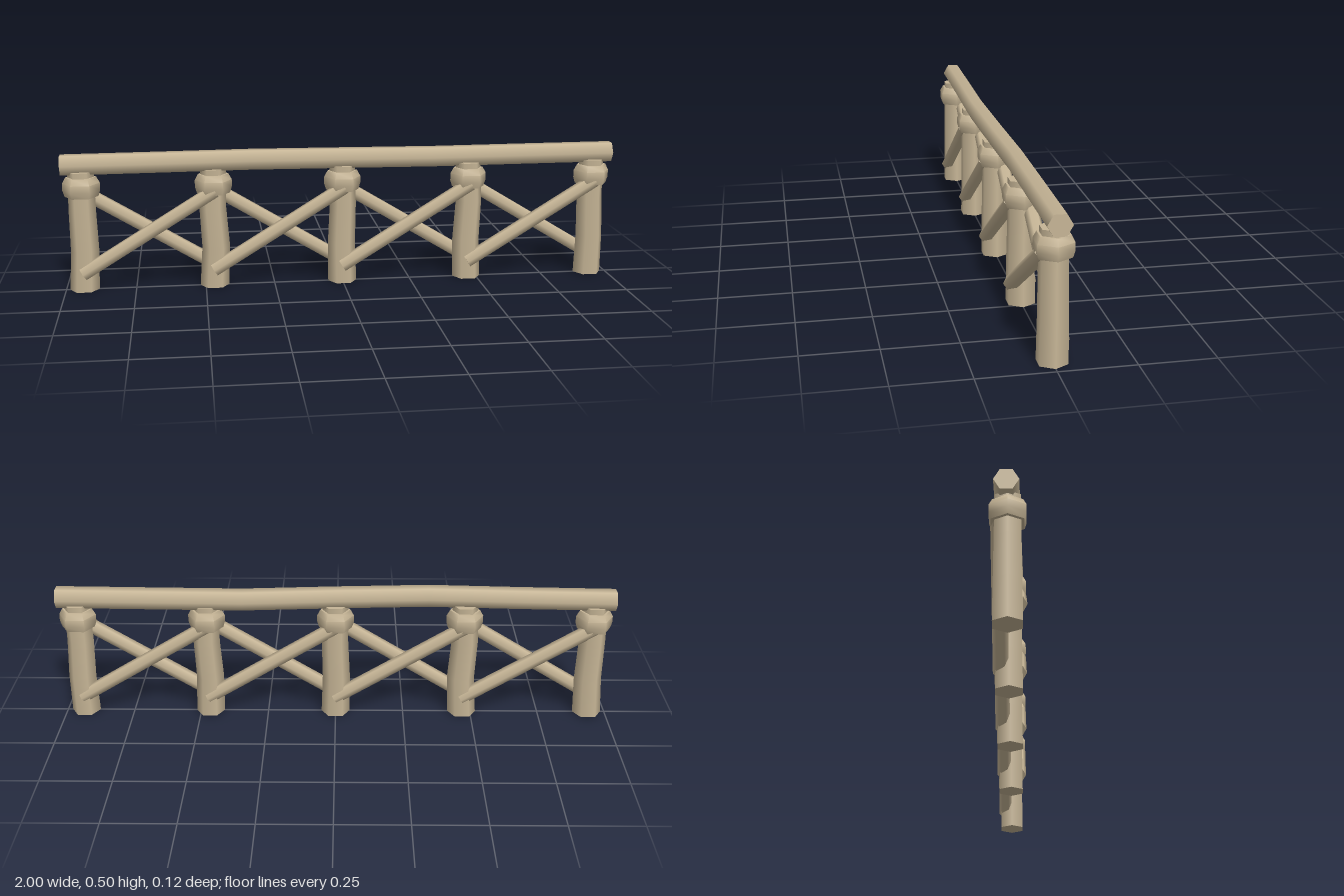
import * as THREE from 'three';
import { toCreasedNormals } from 'three/addons/utils/BufferGeometryUtils.js';

const wood = new THREE.MeshStandardMaterial({ color: 0xc6b596 });
wood.name = 'paleWood';

// Hexagonal log along y, its rings shifted by [x, z] offsets listed from bottom to top
function logGeometry(rTop, rBottom, length, offsets, thetaStart = 0) {
  const segments = offsets.length - 1;
  const geo = new THREE.CylinderGeometry(rTop, rBottom, length, 6, segments, false, thetaStart);
  const pos = geo.attributes.position;
  for (let i = 0; i < pos.count; i++) {
    const [dx, dz] = offsets[Math.round((pos.getY(i) / length + 0.5) * segments)];
    pos.setX(i, pos.getX(i) + dx);
    pos.setZ(i, pos.getZ(i) + dz);
  }
  return geo;
}

function addMesh(parent, name, geometry) {
  const mesh = new THREE.Mesh(geometry, wood);
  mesh.name = name;
  parent.add(mesh);
  return mesh;
}

// Straight brace between two points at depth z
function addBrace(parent, name, x0, y0, x1, y1, z) {
  const length = Math.hypot(x1 - x0, y1 - y0);
  const brace = addMesh(parent, name, logGeometry(0.026, 0.026, length, [[0, 0], [0, 0]]));
  brace.position.set((x0 + x1) / 2, (y0 + y1) / 2, z);
  brace.rotation.z = Math.atan2(y1 - y0, x1 - x0) - Math.PI / 2;
}

export function createModel() {
  const model = new THREE.Group();
  model.name = 'logFence';

  const postX = [-0.93, -0.465, 0, 0.465, 0.93];
  // Sideways bend of each post at bottom, lower, upper and top rings
  const bends = [
    [-0.004, 0.003, 0, 0],
    [-0.003, 0.005, -0.004, 0],
    [0, -0.003, 0.002, 0],
    [0, -0.004, 0.004, 0],
    [0, 0.003, -0.002, 0],
  ];

  // Faceted knob around the top of each post
  const knobProfile = [
    [0.035, 0.343], [0.059, 0.343], [0.066, 0.365],
    [0.066, 0.391], [0.054, 0.413], [0.035, 0.413],
  ].map(([r, y]) => new THREE.Vector2(r, y));
  const knobGeo = toCreasedNormals(new THREE.LatheGeometry(knobProfile, 6, Math.PI / 6), 1.07);

  postX.forEach((x, i) => {
    const post = addMesh(model, 'post',
      logGeometry(0.046, 0.052, 0.433, bends[i].map((dx) => [dx, 0]), Math.PI / 6));
    post.position.set(x, 0.2165, 0);
    addMesh(model, 'postKnob', knobGeo).position.x = x;
  });

  // One rising brace in front and one falling brace behind in every bay
  for (let i = 0; i < 4; i++) {
    const a = postX[i], b = postX[i + 1];
    addBrace(model, 'frontBrace', a - 0.005, 0.066, b + 0.005, 0.358, 0.032);
    addBrace(model, 'backBrace', a - 0.005, 0.358, b + 0.005, 0.07, -0.027);
  }

  // Gently wavy top rail; before turning, -x of the log is up
  const rail = addMesh(model, 'topRail', logGeometry(0.0395, 0.0395, 2, [
    [0.002, -0.004], [-0.001, 0.002], [-0.005, 0.01], [-0.001, 0.002],
    [0.004, -0.009], [0.002, -0.006], [0, -0.002],
  ]));
  rail.rotation.z = -Math.PI / 2;
  rail.position.y = 0.459;

  return model;
}
